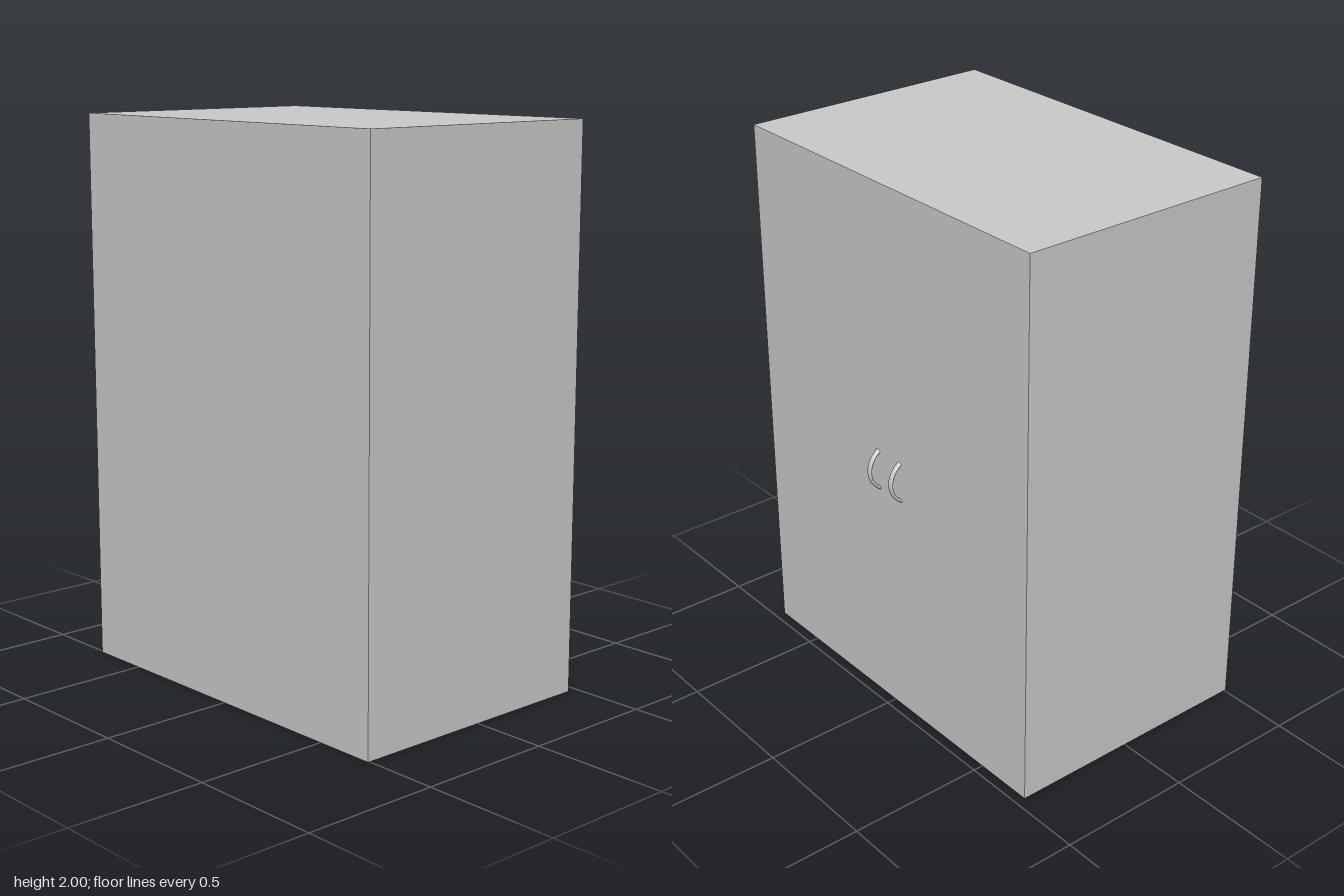
import * as THREE from 'three';

export function createModel() {
  const model = new THREE.Group();
  const material = new THREE.MeshStandardMaterial({ color: 0xcccccc });

  // Plain closed cabinet
  const cabinet = new THREE.Mesh(new THREE.BoxGeometry(1.454, 2, 0.97), material);
  cabinet.name = 'cabinetBody';
  cabinet.position.set(0, 1, 0.022);
  model.add(cabinet);

  // Curved pull handles with an oval section, bowing out towards -z
  const halfArc = 1.02;
  const handleGeometry = new THREE.TorusGeometry(0.086, 0.006, 12, 24, halfArc * 2)
    .rotateZ(-halfArc)
    .rotateY(Math.PI / 2)
    .scale(1.75, 1, 1);
  for (const [name, side] of [['leftHandle', 1], ['rightHandle', -1]]) {
    const handle = new THREE.Mesh(handleGeometry, material);
    handle.name = name;
    handle.position.set(side * 0.06, 0.94, -0.415);
    model.add(handle);
  }

  return model;
}
